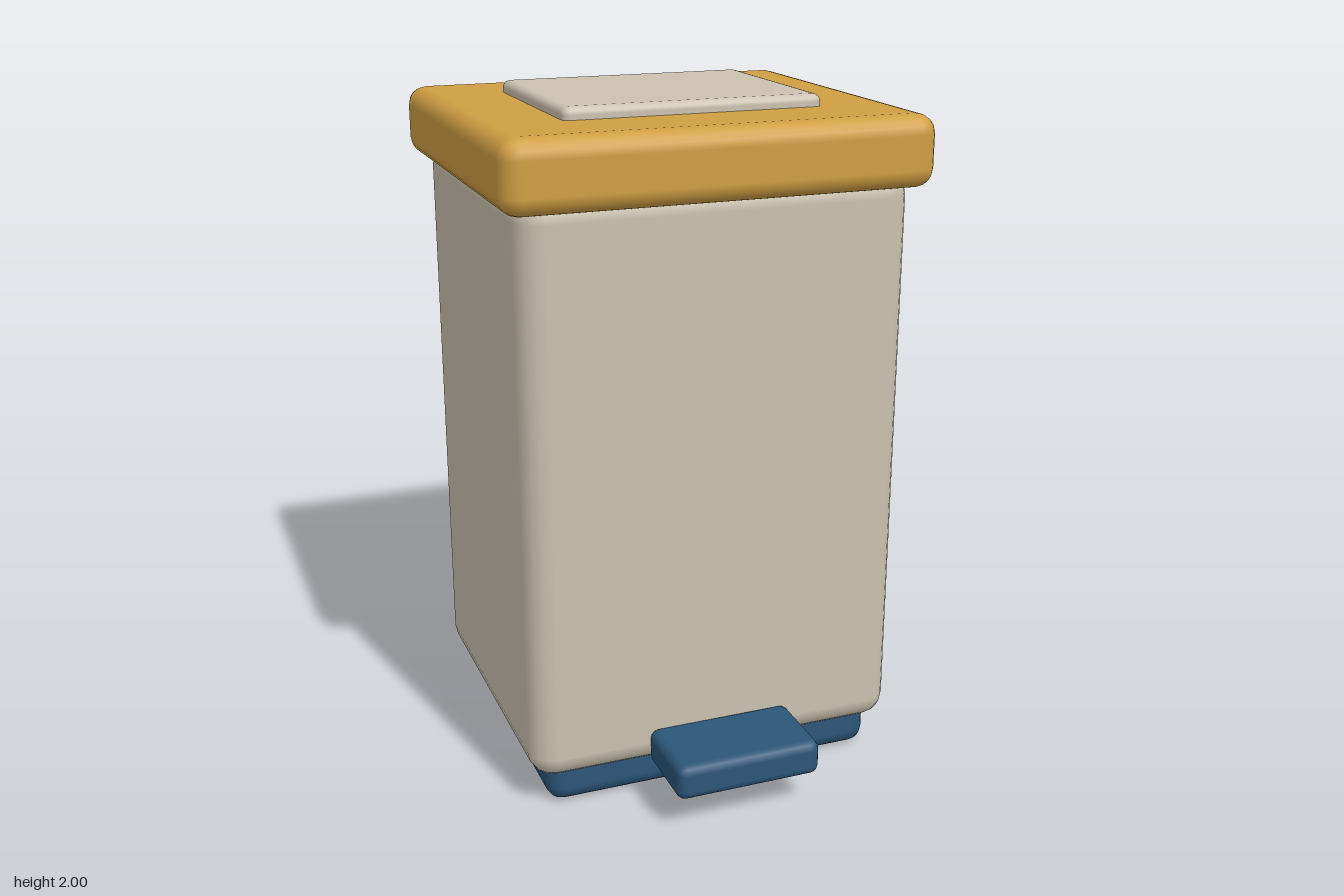
import * as THREE from 'three';
import { RoundedBoxGeometry } from 'three/addons/geometries/RoundedBoxGeometry.js';

const paint = (name, color) => {
  const material = new THREE.MeshStandardMaterial({ color });
  material.name = name;
  return material;
};

export function createModel() {
  const beige = paint('warm beige', 0xcbc2b0);
  const mustard = paint('mustard', 0xd09f43);
  const navy = paint('navy blue', 0x2b5678);

  const model = new THREE.Group();
  model.name = 'pedalBin';

  // Soft-edged block given by its half width and its y and z extents
  const block = (name, material, halfWidth, [y0, y1], [z0, z1], radius) => {
    const geometry = new RoundedBoxGeometry(halfWidth * 2, y1 - y0, z1 - z0, 2, radius);
    const mesh = new THREE.Mesh(geometry, material);
    mesh.name = name;
    mesh.position.set(0, (y0 + y1) / 2, (z0 + z1) / 2);
    model.add(mesh);
  };

  // Plinth tucked under the body
  block('base', navy, 0.515, [0, 0.18], [-0.565, 0.38], 0.05);
  // Bin body
  block('body', beige, 0.57, [0.1, 1.81], [-0.61, 0.42], 0.075);
  // Overhanging lid with a raised panel
  block('lid', mustard, 0.62, [1.76, 1.965], [-0.66, 0.465], 0.055);
  block('lidPanel', beige, 0.38, [1.94, 2], [-0.41, 0.21], 0.022);
  // Foot pedal at the front
  block('pedal', navy, 0.22, [0.11, 0.217], [0.405, 0.66], 0.028);

  return model;
}
